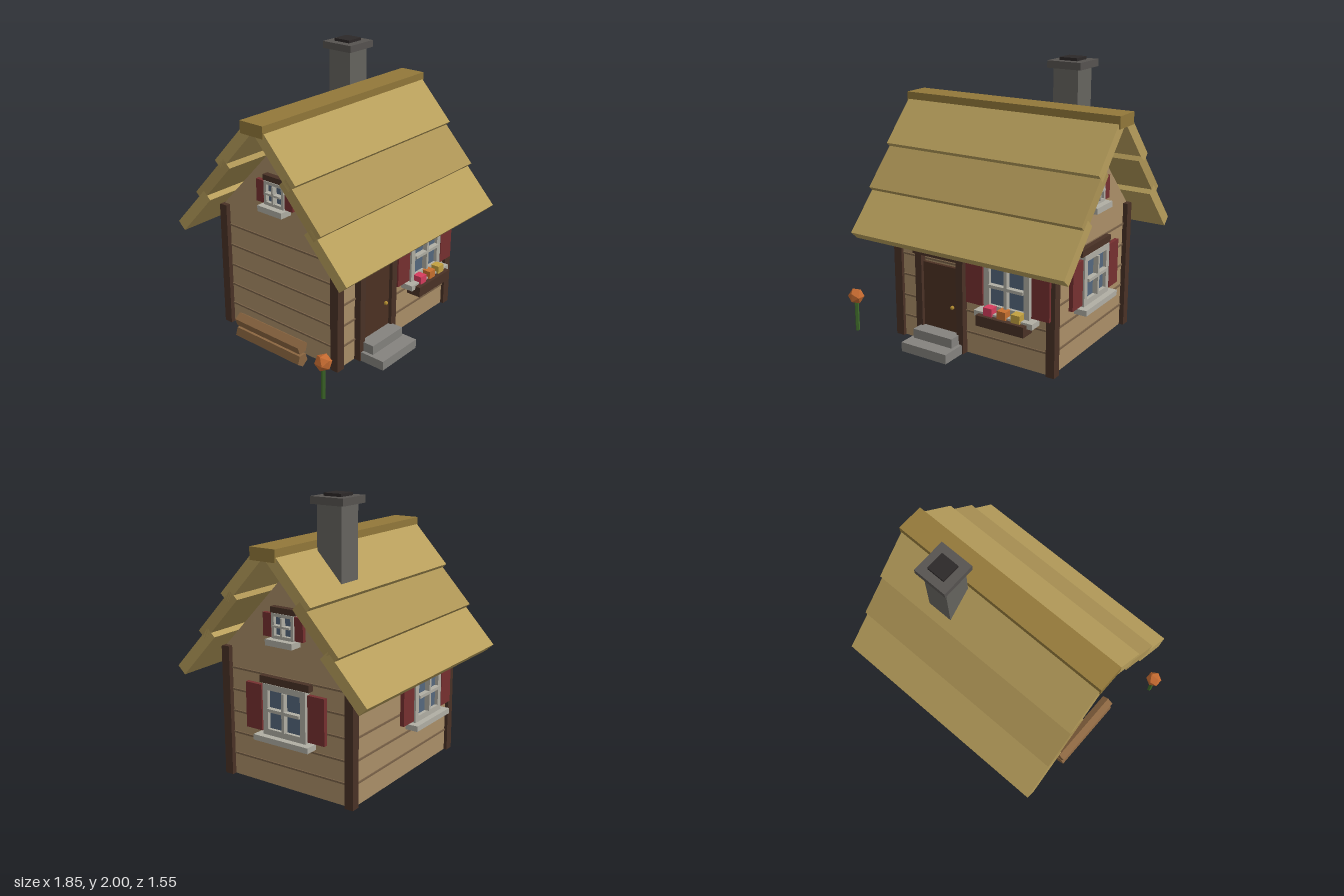
import * as THREE from 'three';

const COLORS = {
  wall: 0xab8f68, seam: 0x7a6248, timber: 0x4a3226, door: 0x4c3123, stone: 0x84827e, chimney: 0x66645f,
  cap: 0x565350, soot: 0x2c2828, thatchA: 0xb89f5c, thatchB: 0xad9455, ridge: 0x92783a, frame: 0xb0aea4,
  glass: 0x55687e, shutter: 0x763030, gold: 0xb08a30, log: 0x8a6540, stem: 0x3f6b2a, bloom: 0xc46a30,
};
const materials = {};
function mat(color) {
  return materials[color] ??= new THREE.MeshStandardMaterial({ color, flatShading: true });
}

function add(parent, name, geometry, color, x, y, z) {
  const mesh = new THREE.Mesh(geometry, mat(color));
  mesh.name = name;
  mesh.position.set(x, y, z);
  parent.add(mesh);
  return mesh;
}
// Box given by its size and centre
function box(parent, name, color, w, h, d, x, y, z) {
  return add(parent, name, new THREE.BoxGeometry(w, h, d), color, x, y, z);
}

// Window facing +z, centred on the origin, with the wall surface at z = 0
function makeWindow(name, { w, h, bar, muntin, sillW, sillH, lintelW, lintelH, shutterW, shutterH, shutterX }) {
  const g = new THREE.Group();
  g.name = name;
  box(g, 'glass', COLORS.glass, w - bar, h - bar, 0.03, 0, 0, 0.01);
  for (const s of [-1, 1]) {
    box(g, 'frameSide', COLORS.frame, bar, h, 0.07, s * (w - bar) / 2, 0, 0.015);
    box(g, 'frameRail', COLORS.frame, w - 2 * bar, bar, 0.07, 0, s * (h - bar) / 2, 0.015);
    box(g, 'shutter', COLORS.shutter, shutterW, shutterH, 0.03, s * shutterX, 0, 0.03);
  }
  box(g, 'muntinUpright', COLORS.frame, muntin, h - 2 * bar, 0.04, 0, 0, 0.043);
  box(g, 'muntinCross', COLORS.frame, w - 2 * bar, muntin, 0.04, 0, 0, 0.043);
  box(g, 'sill', COLORS.frame, sillW, sillH, 0.11, 0, -h / 2 - sillH / 2, 0.04);
  box(g, 'lintel', COLORS.timber, lintelW, lintelH, 0.06, 0, h / 2 + lintelH / 2, 0.015);
  return g;
}
const LARGE = {
  w: 0.355, h: 0.36, bar: 0.042, muntin: 0.022, sillW: 0.455, sillH: 0.04, lintelW: 0.41, lintelH: 0.05,
  shutterW: 0.135, shutterH: 0.325, shutterX: 0.26,
};
const SMALL = {
  w: 0.18, h: 0.17, bar: 0.022, muntin: 0.014, sillW: 0.22, sillH: 0.042, lintelW: 0.205, lintelH: 0.04,
  shutterW: 0.068, shutterH: 0.16, shutterX: 0.13,
};

function makeWalls() {
  const g = new THREE.Group();
  g.name = 'walls';
  box(g, 'wallBlock', COLORS.wall, 1.25, 0.94, 1.04, 0, 0.47, 0);
  // Plank seams run right round the walls
  for (let i = 1; i <= 5; i++) {
    box(g, 'plankSeam', COLORS.seam, 1.266, 0.013, 1.056, 0, i * 0.157 + 0.002, 0);
  }
  for (const sx of [-1, 1]) for (const sz of [-1, 1]) {
    box(g, 'cornerPost', COLORS.timber, 0.065, 0.94, 0.065, sx * 0.6275, 0.47, sz * 0.5125);
  }
  // Gable prism
  const tri = new THREE.Shape([
    new THREE.Vector2(-0.53, 0.94), new THREE.Vector2(0.53, 0.94), new THREE.Vector2(0, 1.5),
  ]);
  const gable = new THREE.ExtrudeGeometry(tri, { depth: 1.25, bevelEnabled: false });
  gable.translate(0, 0, -0.625).rotateY(Math.PI / 2);
  add(g, 'gable', gable, COLORS.wall, 0, 0, 0);
  return g;
}

// Three overlapping courses per slope, each placed by its lower outer edge
function makeRoof() {
  const g = new THREE.Group();
  g.name = 'roof';
  const angle = THREE.MathUtils.degToRad(47), c = Math.cos(angle), s = Math.sin(angle);
  const length = 0.42, thick = 0.08;
  for (const turn of [0, Math.PI]) {
    const slope = new THREE.Group();
    slope.name = 'roofSlope';
    slope.rotation.y = turn;
    for (let i = 0; i < 3; i++) {
      const z = 0.775 - 0.207 * i, y = 0.802 + 0.28 * i;
      const slab = box(slope, 'thatchCourse', i === 1 ? COLORS.thatchB : COLORS.thatchA, 1.7, thick, length,
        0, y + s * length / 2 - c * thick / 2, z - c * length / 2 - s * thick / 2);
      slab.rotation.x = angle;
    }
    g.add(slope);
  }
  box(g, 'ridgeCap', COLORS.ridge, 1.72, 0.085, 0.2, 0, 1.6525, 0);
  return g;
}

function makeEntrance() {
  const g = new THREE.Group();
  g.name = 'entrance';
  box(g, 'door', COLORS.door, 0.295, 0.48, 0.04, 0, 0.37, 0.525);
  for (const s of [-1, 1]) box(g, 'doorJamb', COLORS.timber, 0.054, 0.67, 0.07, s * 0.174, 0.335, 0.536);
  box(g, 'doorHeader', COLORS.timber, 0.425, 0.065, 0.08, 0, 0.7, 0.54);
  add(g, 'doorKnob', new THREE.IcosahedronGeometry(0.015, 1), COLORS.gold, 0.102, 0.32, 0.555);
  box(g, 'lowerStep', COLORS.stone, 0.38, 0.068, 0.25, 0, 0.034, 0.635);
  box(g, 'upperStep', COLORS.stone, 0.33, 0.068, 0.14, 0, 0.102, 0.585);
  const canopy = box(g, 'doorCanopy', COLORS.thatchB, 0.48, 0.035, 0.2, 0, 0.845, 0.605);
  canopy.rotation.x = 0.5;
  return g;
}

export function createModel() {
  const model = new THREE.Group();
  model.name = 'cottage';

  // House, slightly off centre to leave room for the flower
  const house = new THREE.Group();
  house.name = 'house';
  house.position.x = 0.065;
  house.add(makeWalls(), makeRoof());
  model.add(house);

  const entrance = makeEntrance();
  entrance.position.x = -0.187;
  model.add(entrance);

  // Windows: name, size, position, facing
  const windows = [
    ['frontWindow', LARGE, 0.367, 0.56, 0.52, 0],
    ['backWindow', LARGE, -0.19, 0.56, -0.52, Math.PI],
    ['leftWindow', LARGE, 0.69, 0.56, 0, Math.PI / 2],
    ['leftGableWindow', SMALL, 0.69, 1.15, 0, Math.PI / 2],
    ['rightGableWindow', SMALL, -0.56, 1.15, 0, -Math.PI / 2],
  ];
  for (const [name, size, x, y, z, turn] of windows) {
    const win = makeWindow(name, size);
    win.position.set(x, y, z);
    win.rotation.y = turn;
    model.add(win);
  }

  // Flower box under the front window
  box(model, 'flowerBox', COLORS.timber, 0.375, 0.075, 0.11, 0.367, 0.328, 0.6);
  [0xd63d5e, 0xc8702f, 0xc2a040].forEach((color, i) => {
    box(model, 'boxFlower', color, 0.066, 0.066, 0.066, 0.258 + 0.109 * i, 0.39, 0.598);
  });

  // Chimney
  box(model, 'chimneyStack', COLORS.chimney, 0.19, 0.83, 0.19, 0.405, 1.515, -0.205);
  box(model, 'chimneyCap', COLORS.cap, 0.255, 0.05, 0.255, 0.405, 1.955, -0.208);
  box(model, 'chimneyFlue', COLORS.soot, 0.135, 0.02, 0.135, 0.405, 1.99, -0.21);

  // Stacked logs beside the right wall
  for (const y of [0.055, 0.153]) {
    const log = new THREE.CylinderGeometry(0.05, 0.05, 0.6, 5).rotateX(-Math.PI / 2).rotateZ(Math.PI);
    if (y > 0.1) log.rotateZ(Math.PI);
    add(model, 'log', log, COLORS.log, -0.695, y, 0.02);
  }

  // Garden flower
  add(model, 'flowerStem', new THREE.CylinderGeometry(0.016, 0.016, 0.24, 5), COLORS.stem, -0.873, 0.12, 0.66);
  add(model, 'flowerHead', new THREE.IcosahedronGeometry(0.06, 0), COLORS.bloom, -0.873, 0.268, 0.66);

  return model;
}
